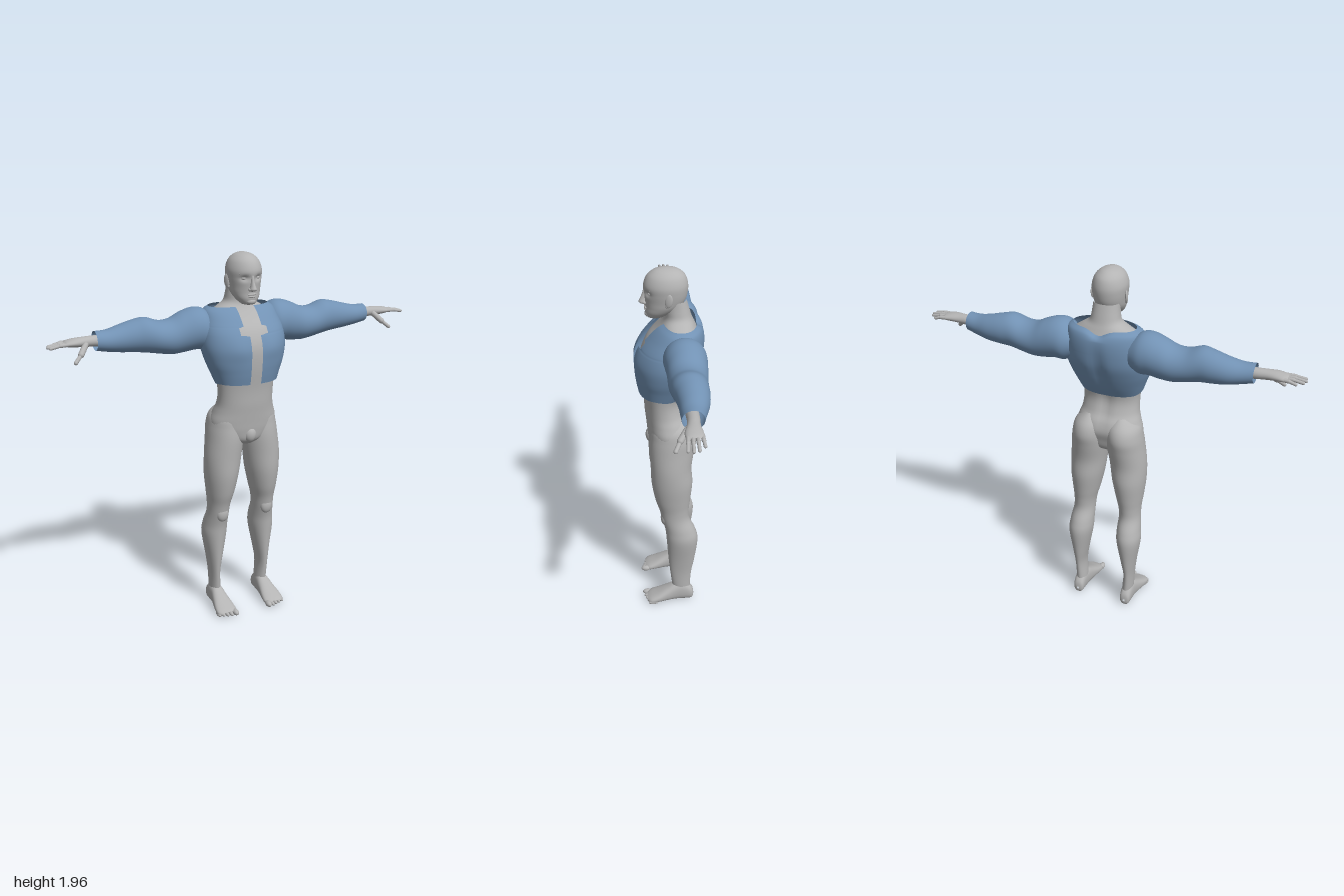
import * as THREE from 'three';

const skin = new THREE.MeshStandardMaterial({ color: 0xb4b4b4 });
skin.name = 'grey skin';
const cloth = new THREE.MeshStandardMaterial({ color: 0x7292b4, side: THREE.DoubleSide });
cloth.name = 'blue cloth';

// Where the ring direction t and the cross axes a, b go for each loft direction
const AXES = {
  y: (t, a, b) => new THREE.Vector3(a, t, b),
  x: (t, a, b) => new THREE.Vector3(t, b, a),
  z: (t, a, b) => new THREE.Vector3(b, a, t),
};
const sym = (rows) => rows.map(([y, hx, z0, z1]) => [y, -hx, hx, z0, z1]);
const bell = (v, centre, width) => Math.exp(-(((v - centre) / width) ** 2));

// Smooth loft through rings [t, aMin, aMax, bMin, bMax]; gap(t) leaves a slit at +b
function loft(axis, rows, { n = 36, steps = 5, e = 1, bend, gap } = {}) {
  const pos = [], idx = [], rings = [];
  const at = (i) => rows[Math.min(Math.max(i, 0), rows.length - 1)];
  for (let i = 0; i < rows.length - 1; i++) {
    for (let s = 0; s < steps; s++) {
      const u = s / steps;
      rings.push(at(i).map((p1, k) => {
        const p0 = at(i - 1)[k], p2 = at(i + 1)[k], p3 = at(i + 2)[k];
        return p1 + 0.5 * u * (p2 - p0 + u * (2 * p0 - 5 * p1 + 4 * p2 - p3 + u * (3 * (p1 - p2) + p3 - p0)));
      }));
    }
  }
  rings.push(at(rows.length));
  const pw = (v) => Math.sign(v) * Math.abs(v) ** e;
  const cols = gap ? n + 1 : n;
  rings.forEach(([t, a0, a1, b0, b1], i) => {
    const start = gap ? Math.asin(Math.min(1, (gap(t) / ((a1 - a0) / 2)) ** (1 / e))) : 0;
    for (let j = 0; j < cols; j++) {
      const w = start + (j / n) * (Math.PI * 2 - 2 * start);
      const p = AXES[axis](t, (a0 + a1) / 2 + pw(Math.sin(w)) * (a1 - a0) / 2,
        (b0 + b1) / 2 + pw(Math.cos(w)) * (b1 - b0) / 2);
      if (bend) bend(p);
      pos.push(p.x, p.y, p.z);
      if (i < rings.length - 1 && j < n) {
        const k = (j + 1) % cols, A = i * cols, B = A + cols;
        idx.push(A + j, A + k, B + k, A + j, B + k, B + j);
      }
    }
  });
  const g = new THREE.BufferGeometry();
  g.setAttribute('position', new THREE.Float32BufferAttribute(pos, 3));
  g.setIndex(idx);
  g.computeVertexNormals();
  return g;
}

const blob = (x, y, z, rx, ry, rz) => new THREE.SphereGeometry(1, 20, 14).scale(rx, ry, rz).translate(x, y, z);

// Rounded rod between two points
function rod(a, b, r) {
  const p = new THREE.Vector3(...a), q = new THREE.Vector3(...b), d = q.clone().sub(p);
  const g = new THREE.CapsuleGeometry(r, d.length(), 6, 12);
  g.applyQuaternion(new THREE.Quaternion().setFromUnitVectors(new THREE.Vector3(0, 1, 0), d.normalize()));
  return g.translate(...p.add(q).multiplyScalar(0.5).toArray());
}

export function createModel() {
  const model = new THREE.Group();
  model.name = 'figure in short jacket';
  const add = (name, geo, mat = skin) => {
    const m = new THREE.Mesh(geo, mat);
    m.name = name;
    model.add(m);
  };
  // Left part plus its mirrored right part
  const pair = (name, geo, mat = skin) => {
    add('left' + name, geo, mat);
    const g = geo.clone().scale(-1, 1, 1), ix = g.index.array;
    for (let i = 0; i < ix.length; i += 3) [ix[i], ix[i + 1]] = [ix[i + 1], ix[i]];
    add('right' + name, g, mat);
  };

  // Torso and neck
  add('torso', loft('y', sym([
    [0.97, 0.05, -0.05, 0.07], [1.0, 0.12, -0.085, 0.1], [1.05, 0.172, -0.1, 0.11],
    [1.1, 0.182, -0.112, 0.115], [1.15, 0.167, -0.1, 0.12], [1.2, 0.153, -0.07, 0.125],
    [1.28, 0.152, -0.053, 0.13], [1.4, 0.17, -0.09, 0.145], [1.5, 0.185, -0.135, 0.145],
    [1.58, 0.19, -0.145, 0.115], [1.64, 0.175, -0.14, 0.065], [1.68, 0.125, -0.125, 0.035],
    [1.71, 0.082, -0.112, 0.022], [1.75, 0.071, -0.1, 0.022], [1.8, 0.066, -0.085, 0.02],
  ]), {
    n: 48, e: 0.92,
    bend: (p) => { if (p.z < 0) p.z += 0.012 * bell(p.x, 0, 0.03) * bell(p.y, 1.25, 0.15); },
  }));
  add('groin', blob(0, 1.03, 0.09, 0.035, 0.045, 0.032));

  // Legs with the seat muscles at their tops
  pair('Leg', loft('y', [
    [0.04, 0.11, 0.17, -0.115, -0.02], [0.1, 0.112, 0.172, -0.112, -0.012], [0.2, 0.119, 0.175, -0.118, 0],
    [0.3, 0.103, 0.187, -0.135, 0.01], [0.43, 0.078, 0.207, -0.15, 0.02], [0.5, 0.075, 0.202, -0.135, 0.027],
    [0.57, 0.076, 0.192, -0.103, 0.045], [0.63, 0.07, 0.192, -0.1, 0.058], [0.7, 0.052, 0.2, -0.108, 0.08],
    [0.8, 0.03, 0.21, -0.118, 0.098], [0.9, 0.015, 0.21, -0.113, 0.102], [1.0, 0.002, 0.199, -0.128, 0.105],
    [1.07, 0.002, 0.19, -0.138, 0.1], [1.13, 0.01, 0.173, -0.12, 0.09], [1.18, 0.05, 0.12, -0.07, 0.04],
  ]));
  pair('Kneecap', blob(0.132, 0.575, 0.03, 0.034, 0.045, 0.022));

  // Feet and toes
  pair('Foot', loft('z', [
    [-0.132, 0.03, 0.045, 0.135, 0.15], [-0.122, 0.004, 0.08, 0.116, 0.17], [-0.08, 0, 0.12, 0.11, 0.177],
    [-0.03, 0, 0.115, 0.105, 0.18], [0.02, 0, 0.088, 0.098, 0.19], [0.07, 0, 0.06, 0.09, 0.2],
    [0.11, 0, 0.04, 0.09, 0.2], [0.13, 0.006, 0.028, 0.11, 0.18],
  ], { n: 28, e: 0.85 }));
  for (let i = 0; i < 5; i++) {
    const r = i ? 0.011 : 0.016, x = i ? 0.106 + i * 0.0215 : 0.102;
    pair('Toe' + (i + 1), blob(x, r + 0.001, 0.127 - i * 0.007, r, r, 0.028));
  }

  // Head with eye sockets pressed in
  add('head', loft('y', sym([
    [1.708, 0.02, 0.045, 0.09], [1.715, 0.038, 0.02, 0.108], [1.74, 0.06, -0.02, 0.115],
    [1.77, 0.074, -0.06, 0.114], [1.8, 0.08, -0.082, 0.116], [1.84, 0.086, -0.092, 0.12],
    [1.88, 0.087, -0.093, 0.122], [1.92, 0.073, -0.08, 0.106], [1.945, 0.049, -0.053, 0.078],
    [1.956, 0.024, -0.025, 0.048], [1.96, 0.002, 0.01, 0.014],
  ]), {
    n: 64, steps: 8,
    bend: (p) => {
      if (p.z > 0) p.z -= 0.013 * bell(Math.abs(p.x), 0.036, 0.02) * bell(p.y, 1.843, 0.014);
    },
  }));
  add('nose', loft('y', sym([
    [1.777, 0.004, 0.105, 0.118], [1.782, 0.016, 0.1, 0.137], [1.79, 0.018, 0.1, 0.146],
    [1.805, 0.013, 0.1, 0.14], [1.83, 0.009, 0.1, 0.129], [1.86, 0.009, 0.1, 0.121],
  ]), { n: 20 }));
  add('upperLip', blob(0, 1.763, 0.111, 0.025, 0.006, 0.009));
  add('lowerLip', blob(0, 1.752, 0.111, 0.02, 0.006, 0.009));
  add('chin', blob(0, 1.727, 0.1, 0.026, 0.016, 0.018));
  pair('Nostril', blob(0.015, 1.788, 0.118, 0.008, 0.008, 0.01));
  pair('Eye', blob(0.035, 1.842, 0.091, 0.015, 0.009, 0.012));
  pair('Brow', rod([0.018, 1.86, 0.113], [0.055, 1.864, 0.091], 0.006));
  pair('Ear', blob(0, 0, 0, 0.007, 0.034, 0.019).rotateY(-0.3).rotateX(-0.15).translate(0.087, 1.822, 0.005));
  pair('EarLobe', blob(0.083, 1.795, 0.013, 0.006, 0.01, 0.009));

  // Hands: palm, four fingers and a drooping thumb
  pair('Palm', loft('x', [
    [0.7, -0.085, -0.025, 1.54, 1.6], [0.76, -0.084, -0.026, 1.548, 1.602], [0.81, -0.082, -0.02, 1.552, 1.602],
    [0.86, -0.088, -0.008, 1.557, 1.6], [0.9, -0.091, -0.01, 1.562, 1.593], [0.915, -0.075, -0.025, 1.57, 1.585],
  ], { n: 24 }));
  [[-0.02, -0.012, 0.987], [-0.04, -0.036, 0.993], [-0.06, -0.06, 0.985], [-0.08, -0.086, 0.955]].forEach(([z0, z1, tip], i) => {
    const mid = [(0.89 + tip) / 2, 1.577, (z0 + z1) / 2];
    pair('Finger' + (i + 1), rod([0.885, 1.578, z0], mid, 0.0095));
    pair('Fingertip' + (i + 1), rod(mid, [tip, 1.569, z1], 0.0078));
  });
  pair('ThumbBase', rod([0.815, 1.567, -0.025], [0.848, 1.53, 0.008], 0.015));
  pair('Thumb', rod([0.848, 1.53, 0.008], [0.882, 1.499, 0.03], 0.01));

  // Jacket body: open front with notched lapels, wide neckline dipping at the back
  add('jacketBody', loft('y', sym([
    [1.3, 0.165, -0.063, 0.157], [1.36, 0.185, -0.1, 0.167], [1.43, 0.21, -0.135, 0.174],
    [1.5, 0.224, -0.163, 0.172], [1.57, 0.22, -0.174, 0.148], [1.63, 0.205, -0.174, 0.102],
    [1.67, 0.19, -0.162, 0.062], [1.69, 0.162, -0.138, 0.03],
  ]), {
    n: 72, steps: 10, e: 0.9,
    gap: (y) => (y < 1.57 ? 0.03 : y < 1.605 ? 0.075 : 0.05),
    bend: (p) => {
      if (p.z < -0.02) {
        p.z += 0.014 * bell(p.x, 0, 0.035) * bell(p.y, 1.48, 0.13);
        if (p.y > 1.64) p.y -= 0.6 * (p.y - 1.64) * bell(p.x, 0, 0.045);
      } else {
        p.z += 0.007 * bell(Math.abs(p.x), 0.09, 0.06) * bell(p.y, 1.5, 0.06);
        p.y += 0.15 * Math.max(0, 1.4 - p.y) * Math.min(1, (p.z + 0.02) / 0.1);
      }
    },
  }), cloth);

  // Sleeves swelling over shoulder, upper arm and forearm, open at the cuff
  pair('Sleeve', loft('x', [
    [0.155, -0.145, 0.015, 1.5, 1.655], [0.2, -0.165, 0.04, 1.475, 1.686], [0.25, -0.168, 0.04, 1.476, 1.69],
    [0.31, -0.165, 0.032, 1.468, 1.672], [0.37, -0.16, 0.03, 1.465, 1.645], [0.43, -0.155, 0.03, 1.475, 1.642],
    [0.5, -0.15, 0.024, 1.488, 1.664], [0.56, -0.149, 0.01, 1.495, 1.656], [0.63, -0.14, 0, 1.502, 1.638],
    [0.7, -0.12, -0.003, 1.514, 1.622], [0.76, -0.106, -0.004, 1.527, 1.622],
  ], { n: 40 }), cloth);

  return model;
}
